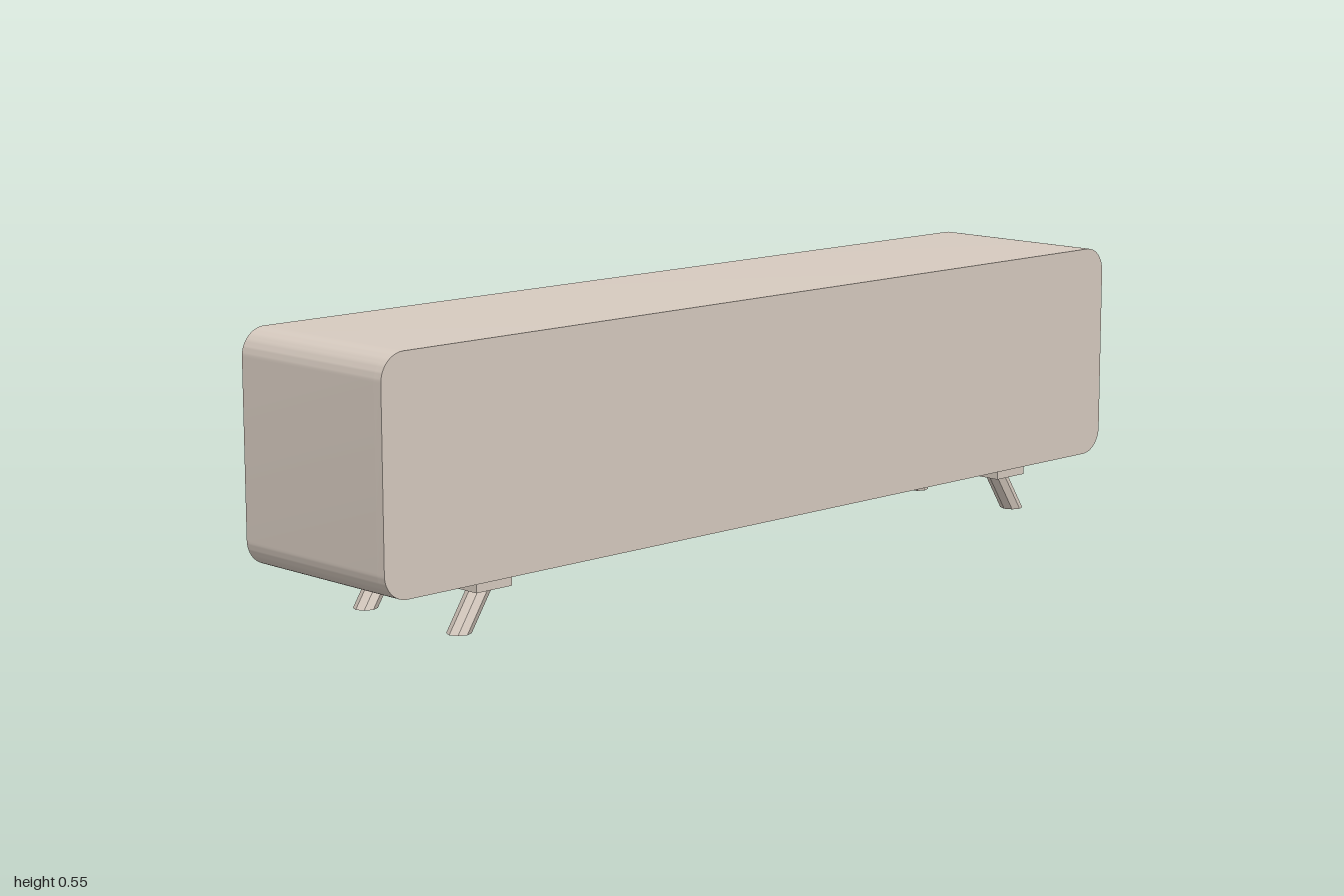
import * as THREE from 'three';
import { toCreasedNormals } from 'three/addons/utils/BufferGeometryUtils.js';

// Rounded rectangle outline, usable as a Shape or as a hole
function roundRect(w, h, r, cx = 0, cy = 0, Type = THREE.Shape) {
  const x = w / 2 - r, y = h / 2 - r, s = new Type();
  s.moveTo(cx - x, cy - h / 2);
  s.absarc(cx + x, cy - y, r, -Math.PI / 2, 0);
  s.absarc(cx + x, cy + y, r, 0, Math.PI / 2);
  s.absarc(cx - x, cy + y, r, Math.PI / 2, Math.PI);
  s.absarc(cx - x, cy - y, r, Math.PI, Math.PI * 1.5);
  s.closePath();
  return s;
}

// Extrude from z0 to z1 with smooth corners and sharp rims
function slab(shape, z0, z1) {
  const g = new THREE.ExtrudeGeometry(shape, { depth: z1 - z0, bevelEnabled: false, curveSegments: 10 });
  g.translate(0, 0, z0);
  return toCreasedNormals(g, 0.6);
}

export function createModel() {
  const body = new THREE.MeshStandardMaterial({ color: 0xd6cabf });
  body.name = 'pale body';
  const tan = new THREE.MeshStandardMaterial({ color: 0xcfbc9f });
  tan.name = 'tan doors';

  const model = new THREE.Group();
  model.name = 'sideboard';
  const add = (parent, name, geo, mat) => {
    const m = new THREE.Mesh(geo, mat);
    m.name = name;
    parent.add(m);
    return m;
  };

  const midY = 0.326;

  // Cabinet: a rounded sleeve, open at -z, closed by a plain wall at +z
  const cabinet = new THREE.Group();
  cabinet.name = 'cabinet';
  cabinet.position.y = midY;
  model.add(cabinet);
  const sleeve = roundRect(2, 0.448, 0.052);
  sleeve.holes.push(roundRect(1.95, 0.398, 0.045, 0, 0, THREE.Path));
  add(cabinet, 'sleeve', slab(sleeve, -0.2, 0.18), body);
  add(cabinet, 'closedWall', slab(roundRect(2, 0.448, 0.052), 0.18, 0.2), body);

  // Sliding doors: frame with a sunken panel and a finger slot at each end
  const doorW = 1.03, doorH = 0.394, thick = 0.036;
  function door(name, x, z) {
    const g = new THREE.Group();
    g.name = name;
    g.position.set(x, midY, z);
    model.add(g);
    const frame = roundRect(doorW, doorH, 0.043);
    frame.holes.push(roundRect(doorW - 0.09, 0.298, 0.002, 0, 0, THREE.Path));
    for (const s of [-1, 1]) {
      frame.holes.push(roundRect(0.026, 0.176, 0.002, s * (doorW / 2 - 0.023), 0, THREE.Path));
    }
    add(g, 'doorFrame', slab(frame, 0, 0.014), tan);
    add(g, 'doorPanel', slab(roundRect(doorW, doorH, 0.043), 0.014, thick), tan);
  }
  door('outerSlidingDoor', 0.457, -0.194);
  door('innerSlidingDoor', -0.457, -0.154);

  // Splayed octagonal legs under square mounting plates
  for (const s of [-1, 1]) {
    for (const z of [0.141, -0.13]) {
      const leg = new THREE.Group();
      leg.name = 'leg';
      leg.position.set(s * 0.728, 0, z);
      model.add(leg);
      add(leg, 'mountingPlate', new THREE.BoxGeometry(0.086, 0.022, 0.08), body).position.y = 0.091;
      const post = new THREE.CylinderGeometry(0.0235, 0.0235, 0.08, 8).toNonIndexed();
      const p = post.attributes.position;
      for (let i = 0; i < p.count; i++) {
        p.setX(i, p.getX(i) + s * (0.04 - p.getY(i)) * 0.65);
      }
      post.computeVertexNormals();
      add(leg, 'post', post, body).position.y = 0.04;
    }
  }
  return model;
}
